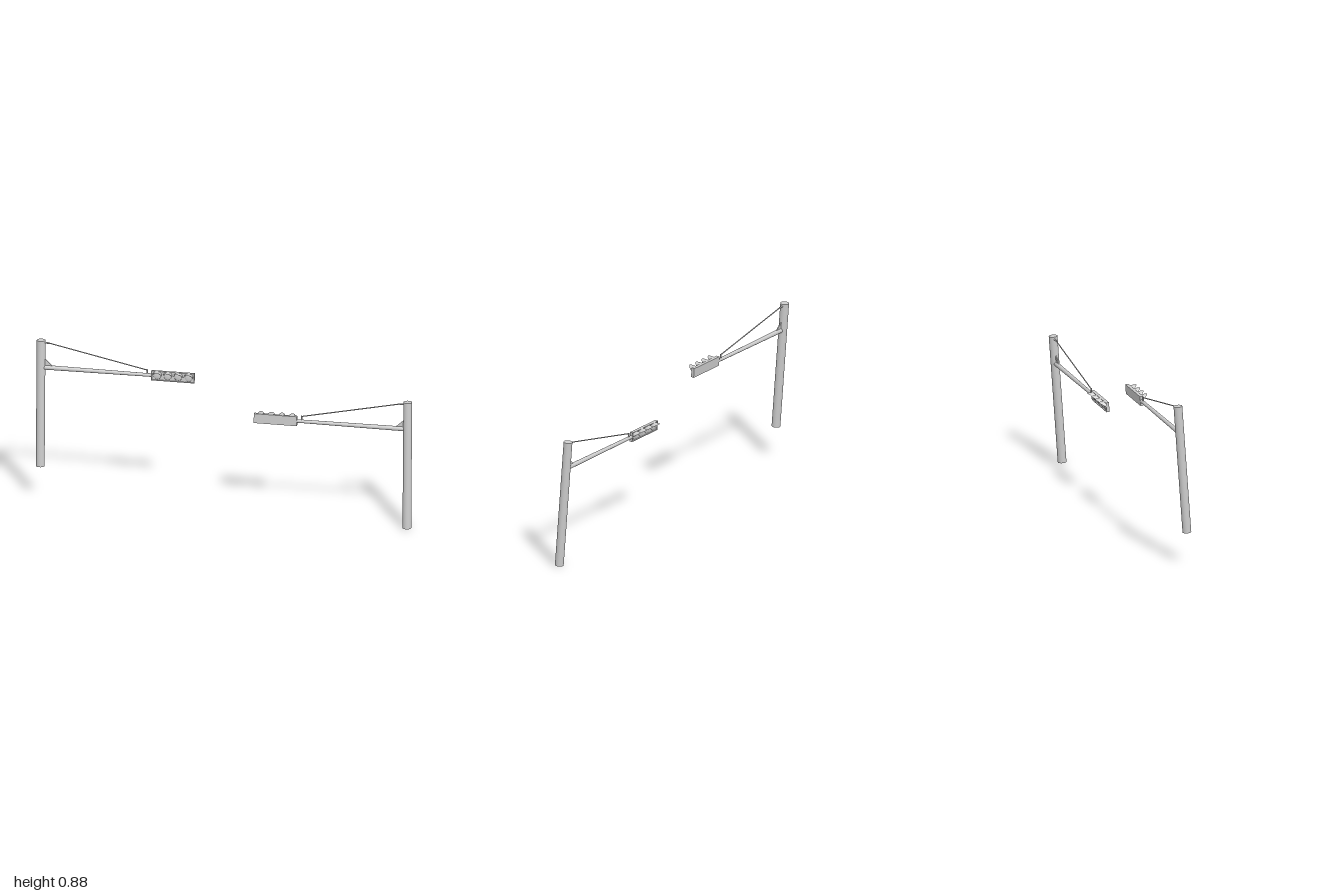
import * as THREE from 'three';

const grey = new THREE.MeshStandardMaterial({ color: 0xcccccc });
const greyThin = new THREE.MeshStandardMaterial({ color: 0xcccccc, side: THREE.DoubleSide });

const ARM_Y = 0.55, POLE_R = 0.023, POLE_H = 0.70;
const HEAD_X0 = 0.592, HEAD_X1 = 0.822, HEAD_H = 0.052, HEAD_D = 0.017;
const VISOR_R = 0.024, VISOR_L = 0.033;

function add(parent, name, geometry, x = 0, y = 0, z = 0, material = grey) {
  const mesh = new THREE.Mesh(geometry, material);
  mesh.name = name;
  mesh.position.set(x, y, z);
  parent.add(mesh);
  return mesh;
}

// round bar between two points
function bar(parent, name, a, b, r0, r1 = r0, sides = 16) {
  const dir = b.clone().sub(a);
  const mid = a.clone().add(b).multiplyScalar(0.5);
  const mesh = add(parent, name, new THREE.CylinderGeometry(r1, r0, dir.length(), sides), mid.x, mid.y, mid.z);
  mesh.quaternion.setFromUnitVectors(new THREE.Vector3(0, 1, 0), dir.normalize());
  return mesh;
}

// half tube over a lamp, cut on a slant so that it is longest at the top
function visorGeometry() {
  const g = new THREE.CylinderGeometry(VISOR_R, VISOR_R, 1, 20, 1, true, -Math.PI / 2, Math.PI);
  g.rotateX(-Math.PI / 2);
  const p = g.attributes.position;
  for (let i = 0; i < p.count; i++) {
    const reach = VISOR_L * Math.max(0, p.getY(i)) / VISOR_R;
    p.setZ(i, p.getZ(i) > 0 ? reach : 0);
  }
  return g;
}

function rectangle(path, w, h) {
  path.moveTo(-w / 2, -h / 2);
  path.lineTo(w / 2, -h / 2);
  path.lineTo(w / 2, h / 2);
  path.lineTo(-w / 2, h / 2);
  path.closePath();
  return path;
}

function createHead() {
  const head = new THREE.Group();
  head.name = 'signalHead';
  const w = HEAD_X1 - HEAD_X0, back = 0.010, lip = HEAD_D - back;
  add(head, 'housing', new THREE.BoxGeometry(w, HEAD_H, back), 0, 0, -HEAD_D / 2 + back / 2);

  // raised rim around the front
  const rim = rectangle(new THREE.Shape(), w, HEAD_H);
  rim.holes.push(rectangle(new THREE.Path(), w - 0.006, HEAD_H - 0.006));
  add(head, 'housingRim', new THREE.ExtrudeGeometry(rim, { depth: lip, bevelEnabled: false }), 0, 0, -HEAD_D / 2 + back);

  // four lamps, each with its visor
  const visor = visorGeometry();
  const lens = new THREE.SphereGeometry(0.02, 20, 6, 0, Math.PI * 2, 0, Math.PI / 2);
  lens.rotateX(Math.PI / 2);
  lens.scale(1, 1, 0.25);
  for (let i = 0; i < 4; i++) {
    const x = (i - 1.5) * 0.056;
    add(head, 'lens', lens, x, 0, -HEAD_D / 2 + back);
    add(head, 'visor', visor, x, 0.002, HEAD_D / 2, greyThin);
    // straight part of the visor inside the housing
    const sleeve = new THREE.CylinderGeometry(VISOR_R, VISOR_R, lip, 20, 1, true, -Math.PI / 2, Math.PI);
    sleeve.rotateX(-Math.PI / 2);
    add(head, 'visorSleeve', sleeve, x, 0.002, HEAD_D / 2 - lip / 2, greyThin);
  }
  head.position.set((HEAD_X0 + HEAD_X1) / 2, ARM_Y, 0);
  return head;
}

// one complete signal: the arm runs along +x, the lamps face +z
function createSignal(name) {
  const signal = new THREE.Group();
  signal.name = name;
  const v = (x, y) => new THREE.Vector3(x, y, 0);

  add(signal, 'pole', new THREE.CylinderGeometry(POLE_R, POLE_R, POLE_H, 32), 0, POLE_H / 2);
  bar(signal, 'arm', v(0, ARM_Y), v(HEAD_X0 + 0.003, ARM_Y), 0.0125, 0.009, 20);

  // triangular gusset between pole and arm
  const tri = new THREE.Shape();
  tri.moveTo(POLE_R - 0.004, ARM_Y);
  tri.lineTo(0.062, ARM_Y);
  tri.lineTo(0.062, ARM_Y + 0.011);
  tri.lineTo(POLE_R - 0.004, ARM_Y + 0.05);
  add(signal, 'gusset', new THREE.ExtrudeGeometry(tri, { depth: 0.005, bevelEnabled: false }), 0, 0, -0.0025);

  // stay cable with its fixings
  const top = v(0.045, 0.686), end = v(0.568, 0.577);
  bar(signal, 'cableAnchor', v(POLE_R - 0.004, 0.687), top, 0.005, 0.004, 12);
  bar(signal, 'cable', top, end, 0.003, 0.003, 8);
  bar(signal, 'cablePost', v(0.568, ARM_Y), v(0.568, 0.58), 0.004, 0.004, 12);

  signal.add(createHead());
  return signal;
}

export function createModel() {
  const model = new THREE.Group();
  model.name = 'signalPair';
  const yaw = -0.11, tilt = -0.075;

  const right = createSignal('rightSignal');
  right.position.set(-0.976, 0.184, -0.084);
  right.rotation.set(tilt, yaw, 0);

  const left = createSignal('leftSignal');
  left.position.set(0.976, 0.002, 0.138);
  left.rotation.set(tilt, Math.PI + yaw, 0);

  model.add(right, left);
  return model;
}
